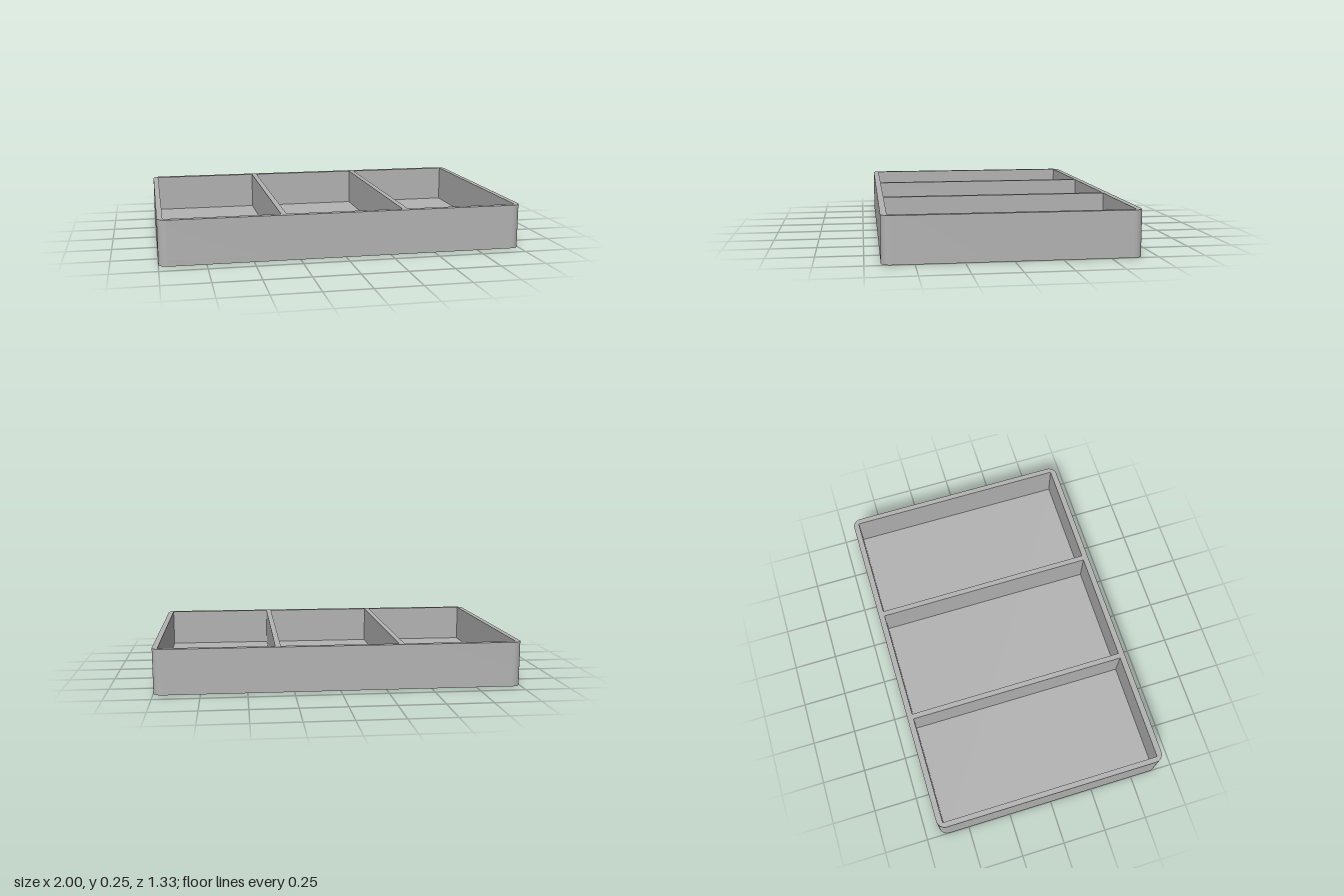
import * as THREE from 'three';
import { toCreasedNormals } from 'three/addons/utils/BufferGeometryUtils.js';

const W = 1, D = 0.667, H = 0.247;   // half width, half depth, height
const R = 0.05;                      // outer corner radius
const FLOOR = 0.033;                 // floor thickness
const INNER_Z = 0.634;               // half depth of the compartments
const CELLS = [[-0.97, -0.35], [-0.32, 0.32], [0.35, 0.97]]; // compartment x spans

// Rectangle with rounded corners
function outline() {
  const s = new THREE.Shape();
  s.absarc(W - R, D - R, R, 0, Math.PI / 2);
  s.absarc(R - W, D - R, R, Math.PI / 2, Math.PI);
  s.absarc(R - W, R - D, R, Math.PI, Math.PI * 1.5);
  s.absarc(W - R, R - D, R, Math.PI * 1.5, Math.PI * 2);
  s.closePath();
  return s;
}

// Upright extrusion between two heights
function slab(name, shape, y0, y1, material) {
  const extruded = new THREE.ExtrudeGeometry(shape, { depth: y1 - y0, bevelEnabled: false, curveSegments: 10 });
  extruded.rotateX(-Math.PI / 2).translate(0, y0, 0);
  const mesh = new THREE.Mesh(toCreasedNormals(extruded, Math.PI / 6), material);
  mesh.name = name;
  return mesh;
}

export function createModel() {
  const group = new THREE.Group();
  group.name = 'compartmentTray';
  const grey = new THREE.MeshStandardMaterial({ color: 0xb3b3b3 });
  grey.name = 'light grey';

  // Floor plate
  group.add(slab('floor', outline(), 0, FLOOR, grey));

  // Outer walls and two dividers, with three square-cornered compartments cut through
  const frame = outline();
  for (const [x0, x1] of CELLS) {
    const hole = new THREE.Path();
    hole.moveTo(x0, -INNER_Z).lineTo(x0, INNER_Z).lineTo(x1, INNER_Z).lineTo(x1, -INNER_Z).closePath();
    frame.holes.push(hole);
  }
  group.add(slab('wallsAndDividers', frame, FLOOR, H, grey));

  return group;
}
